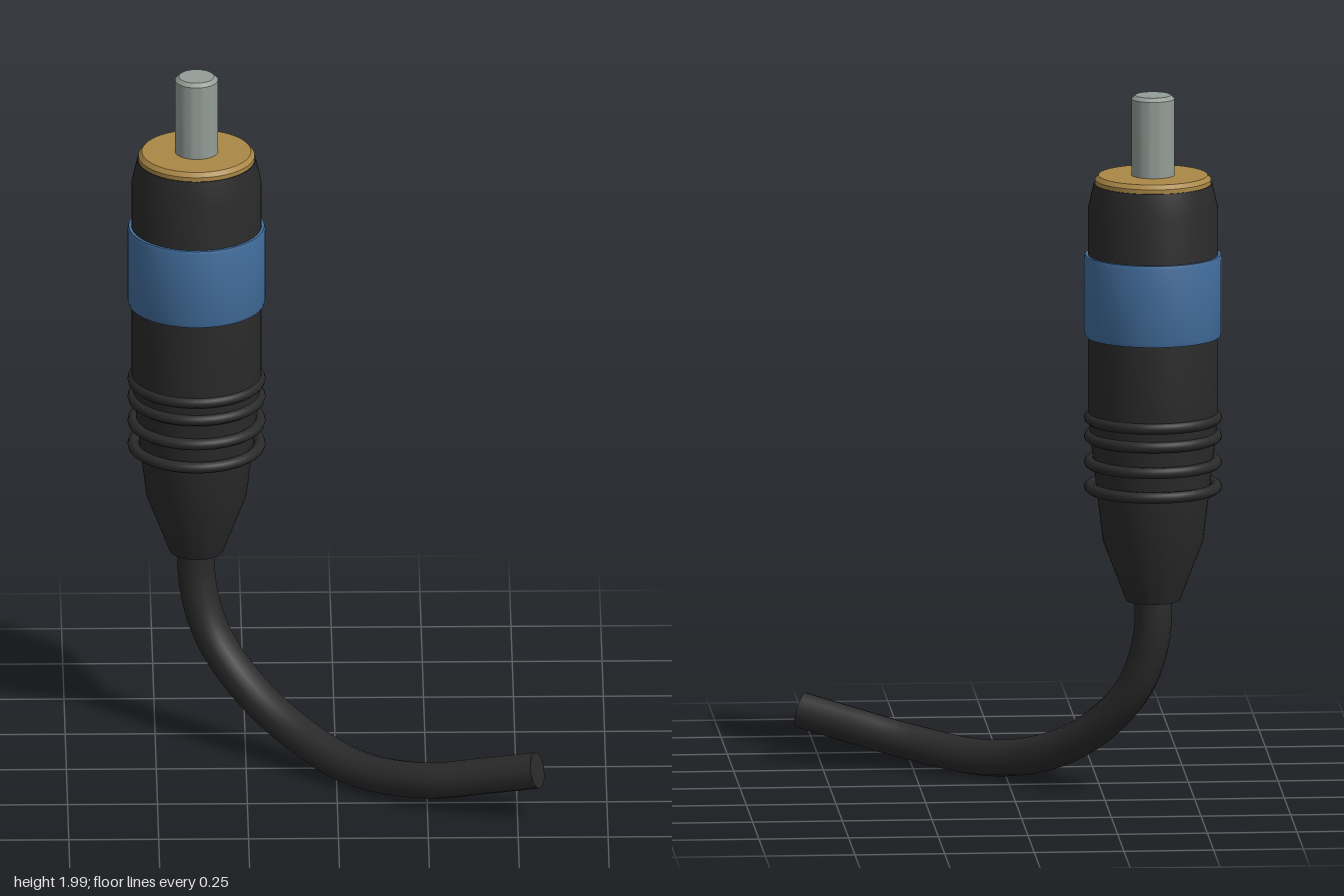
import * as THREE from 'three';
import { toCreasedNormals } from 'three/addons/utils/BufferGeometryUtils.js';

const material = (name, color) => new THREE.MeshStandardMaterial({ name, color });

export function createModel() {
  const black = material('black rubber', 0x2a2a2a);
  const blue = material('blue band', 0x416c9b);
  const gold = material('gold contact', 0xaa8746);
  const silver = material('silver pin', 0x949d98);

  const model = new THREE.Group();
  model.name = 'cablePlug';
  const plug = new THREE.Group();
  plug.name = 'plug';
  plug.position.set(-0.385, 0, -0.234);
  model.add(plug);

  const add = (parent, name, geometry, mat) => {
    const mesh = new THREE.Mesh(geometry, mat);
    mesh.name = name;
    parent.add(mesh);
    return mesh;
  };
  // Turned part from [radius, height] pairs, listed from bottom to top
  const turned = (name, profile, mat) => {
    const points = profile.map(([r, y]) => new THREE.Vector2(r, y));
    const lathe = new THREE.LatheGeometry(points, 48);
    return add(plug, name, toCreasedNormals(lathe, 0.4), mat);
  };

  // Handle with tapered strain relief
  turned('body', [
    [0, 0.57], [0.075, 0.57], [0.14, 0.74], [0.157, 0.88], [0.181, 1.09],
    [0.181, 1.68], [0.165, 1.75], [0, 1.75],
  ], black);

  // Coloured sleeve
  turned('band', [
    [0.17, 1.32], [0.189, 1.32], [0.192, 1.33], [0.192, 1.54], [0.189, 1.55], [0.17, 1.55],
  ], blue);

  // Contact disc and centre pin
  turned('contactDisc', [
    [0, 1.74], [0.162, 1.74], [0.162, 1.762], [0.152, 1.774], [0, 1.774],
  ], gold);
  turned('pin', [[0, 1.76], [0.06, 1.76], [0.06, 1.99], [0.049, 2], [0, 2]], silver);

  // Grip ribs
  for (const y of [0.892, 0.962, 1.035, 1.088]) {
    const rib = add(plug, 'gripRib', new THREE.TorusGeometry(0.176, 0.016, 10, 48), black);
    rib.rotation.x = Math.PI / 2;
    rib.position.y = y;
  }

  // Cable, sweeping down and round to the front left
  const path = new THREE.CatmullRomCurve3([
    [-0.385, 0.62, -0.234], [-0.382, 0.47, -0.23], [-0.342, 0.33, -0.203],
    [-0.25, 0.205, -0.138], [-0.12, 0.11, -0.035], [0.05, 0.06, 0.122],
    [0.25, 0.079, 0.262], [0.4, 0.115, 0.318], [0.555, 0.155, 0.372],
  ].map((p) => new THREE.Vector3(...p)));
  const radius = 0.052;
  add(model, 'cable', new THREE.TubeGeometry(path, 48, radius, 10), black);

  // Cut end of the cable
  const end = add(model, 'cableEnd', new THREE.CircleGeometry(radius, 10), black);
  end.position.copy(path.getPoint(1));
  end.quaternion.setFromUnitVectors(new THREE.Vector3(0, 0, 1), path.getTangent(1));

  return model;
}
